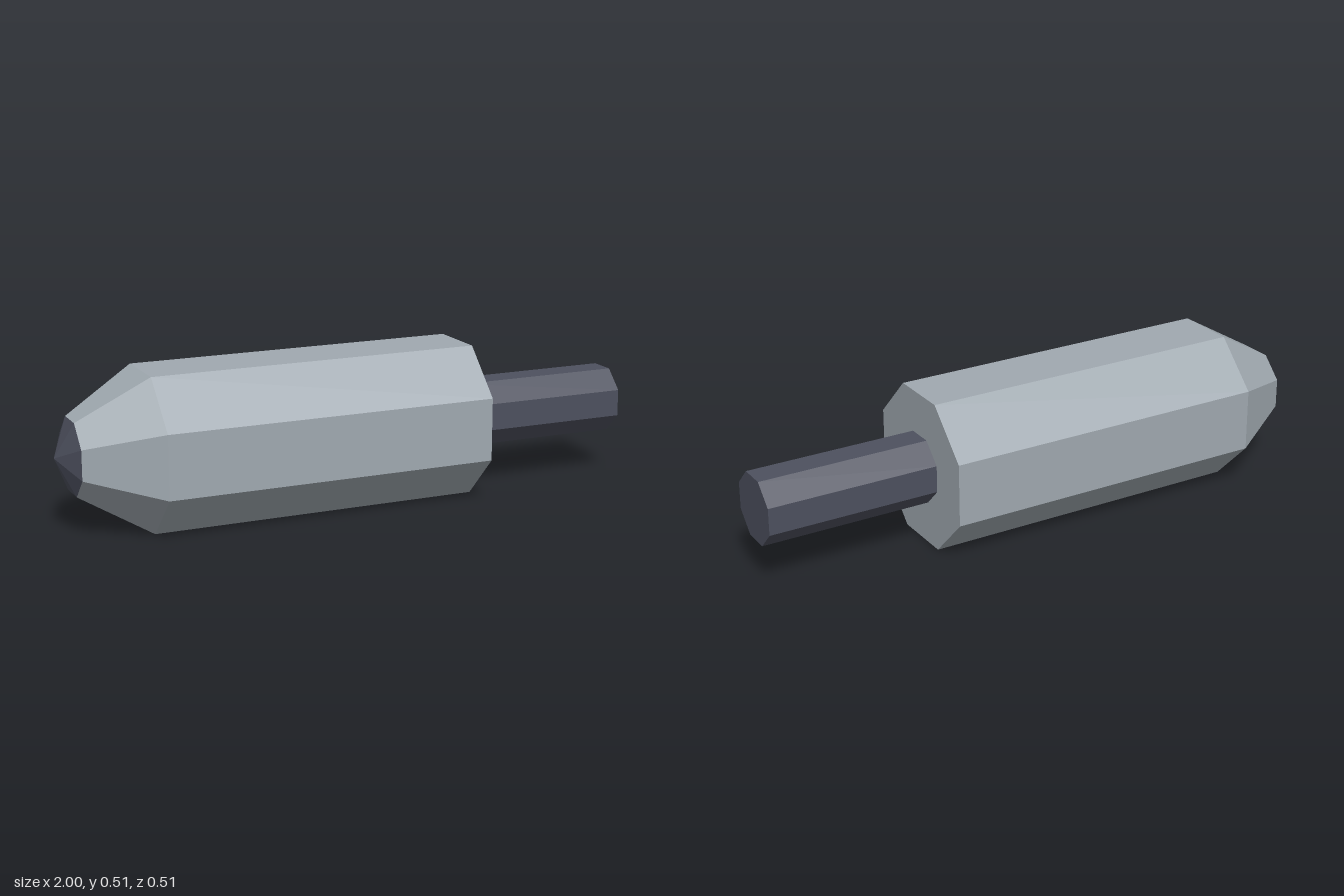
import * as THREE from 'three';

const SIDES = 8;
const AXIS_Y = 0.2555;
// Converts the distance to a flat side into the corner radius
const corner = (apothem) => apothem / Math.cos(Math.PI / SIDES);

export function createModel() {
  const model = new THREE.Group();
  model.name = 'pointedCylinder';

  const steel = new THREE.MeshStandardMaterial({ color: 0xa0a9b0, flatShading: true });
  steel.name = 'light steel';
  const dark = new THREE.MeshStandardMaterial({ color: 0x4d505e, flatShading: true });
  dark.name = 'dark metal';

  // Octagonal section along x, from x0 (flat distance a0) to x1 (a1)
  function section(name, material, x0, a0, x1, a1, open) {
    const geometry = new THREE.CylinderGeometry(
      corner(a1), corner(a0), x1 - x0, SIDES, 1, open, Math.PI / SIDES);
    geometry.rotateZ(-Math.PI / 2);
    const mesh = new THREE.Mesh(geometry, material);
    mesh.name = name;
    mesh.position.set((x0 + x1) / 2, AXIS_Y, 0);
    model.add(mesh);
  }

  section('tip', dark, -1, 0, -0.945, 0.12, true);
  section('nose', steel, -0.945, 0.12, -0.71, 0.2555, true);
  section('body', steel, -0.71, 0.2555, 0.418, 0.2555, false);
  section('rod', dark, 0.418, 0.11, 1, 0.11, false);

  return model;
}
